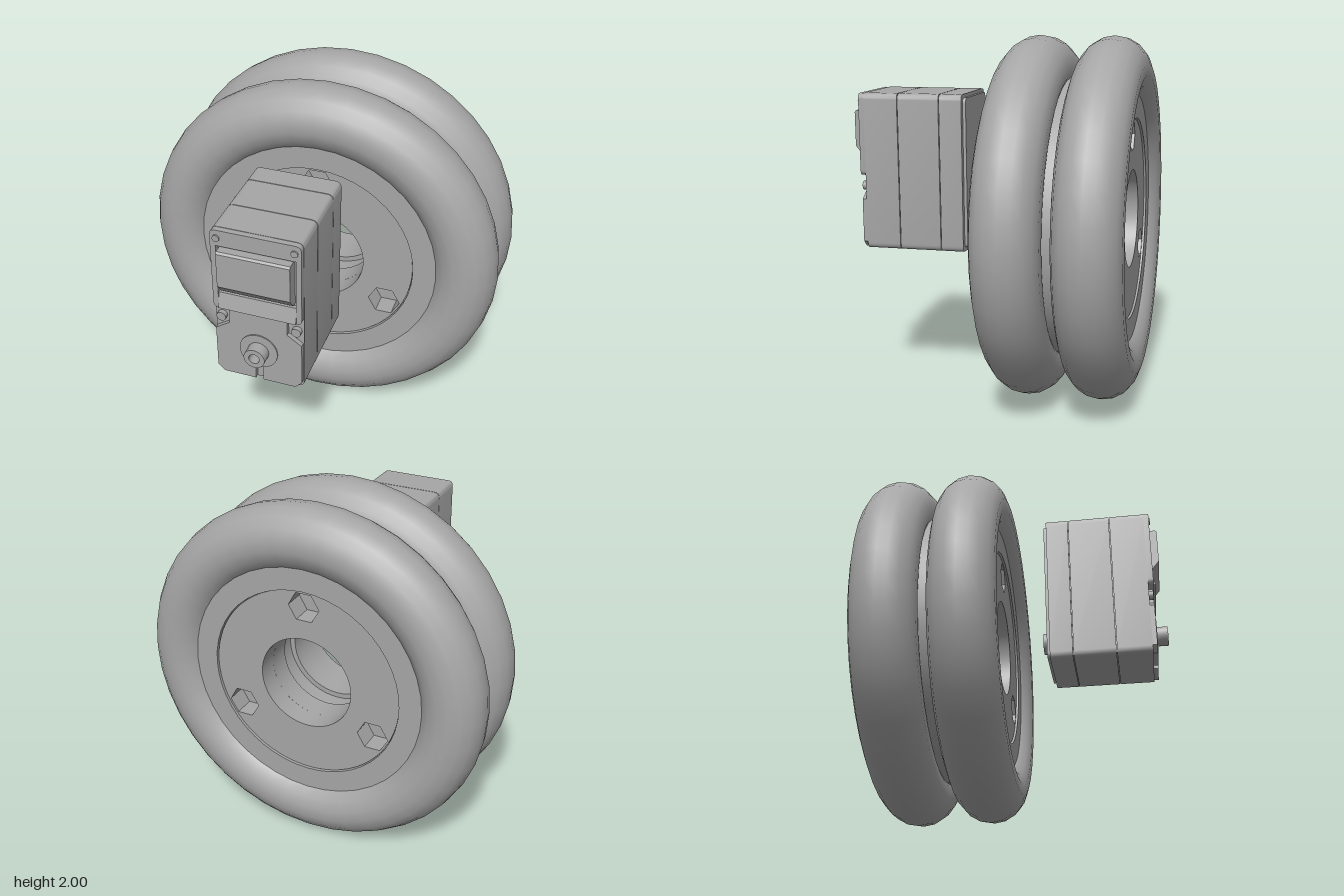
import * as THREE from 'three';
import { toCreasedNormals } from 'three/addons/utils/BufferGeometryUtils.js';

const grey = new THREE.MeshStandardMaterial({ color: 0xa6a6a6 });
grey.name = 'grey';

function add(parent, name, geometry, x = 0, y = 0, z = 0) {
  const mesh = new THREE.Mesh(geometry, grey);
  mesh.name = name;
  mesh.position.set(x, y, z);
  parent.add(mesh);
  return mesh;
}

const polygon = pts => new THREE.Shape(pts.map(p => new THREE.Vector2(...p)));

function extrude(shape, depth, curveSegments = 6) {
  const g = new THREE.ExtrudeGeometry(shape, { depth, curveSegments, bevelEnabled: false });
  return toCreasedNormals(g, 0.6);
}

// Cylinder lying along z
function rod(radius, length, sides = 24) {
  const g = new THREE.CylinderGeometry(radius, radius, length, sides);
  return g.rotateX(Math.PI / 2);
}

// Rounded rectangle from half width w and the heights y0..y1
function roundedRect(w, y0, y1, r) {
  const s = new THREE.Shape();
  s.moveTo(-w + r, y0);
  s.lineTo(w - r, y0);
  s.quadraticCurveTo(w, y0, w, y0 + r);
  s.lineTo(w, y1 - r);
  s.quadraticCurveTo(w, y1, w - r, y1);
  s.lineTo(-w + r, y1);
  s.quadraticCurveTo(-w, y1, -w, y1 - r);
  s.lineTo(-w, y0 + r);
  s.quadraticCurveTo(-w, y0, -w + r, y0);
  return s;
}

function createWheel() {
  const wheel = new THREE.Group();
  wheel.name = 'doubleWheel';

  // Two fat tyres side by side
  for (const side of [1, -1])
    add(wheel, side > 0 ? 'frontTyre' : 'rearTyre',
      new THREE.TorusGeometry(0.82, 0.18, 18, 40), 0, 0, side * 0.205);

  // Hub core: outer rim, recessed faces and a bore with a wide middle
  const profile = [
    [0.27, -0.19], [0.555, -0.19], [0.555, -0.322], [0.74, -0.322], [0.77, -0.2],
    [0.77, 0.2], [0.74, 0.322], [0.555, 0.322], [0.555, 0.19], [0.27, 0.19],
    [0.27, 0.06], [0.3, 0.06], [0.3, -0.06], [0.27, -0.06], [0.27, -0.19],
  ].map(p => new THREE.Vector2(...p));
  const core = new THREE.LatheGeometry(profile, 48).rotateX(Math.PI / 2);
  add(wheel, 'hubCore', toCreasedNormals(core, 0.5));

  // Hub discs with three hexagonal sockets each
  const disc = new THREE.Shape().absarc(0, 0, 0.55, 0, Math.PI * 2, false);
  disc.holes.push(new THREE.Path().absarc(0, 0, 0.27, 0, Math.PI * 2, true));
  for (let i = 0; i < 3; i++) {
    const a = Math.PI / 2 + i * Math.PI * 2 / 3;
    const hex = [];
    for (let k = 0; k < 6; k++) {
      const b = -k * Math.PI / 3;
      hex.push(new THREE.Vector2(
        0.46 * Math.cos(a) + 0.09 * Math.cos(b), 0.46 * Math.sin(a) + 0.09 * Math.sin(b)));
    }
    disc.holes.push(new THREE.Path(hex));
  }
  const discGeometry = extrude(disc, 0.12, 48);
  add(wheel, 'frontHubDisc', discGeometry, 0, 0, 0.19);
  add(wheel, 'rearHubDisc', discGeometry, 0, 0, -0.19).rotation.y = Math.PI;
  return wheel;
}

function createMotor() {
  const motor = new THREE.Group();
  motor.name = 'motor';

  // Case in three layers with fine seams over an inner block
  const caseShape = roundedRect(0.23, 0.81, 1.685, 0.035);
  const layers = [['rearCase', -0.285, -0.159], ['middleCase', -0.155, 0.078], ['frontCase', 0.082, 0.275]];
  for (const [name, z0, z1] of layers) add(motor, name, extrude(caseShape, z1 - z0), 0, 0, z0);
  add(motor, 'innerBlock', new THREE.BoxGeometry(0.44, 0.85, 0.5), 0, 1.2475, 0);

  // Rear plate and idler boss
  add(motor, 'rearPlate', extrude(roundedRect(0.2, 0.83, 1.665, 0.03), 0.02), 0, 0, -0.302);
  add(motor, 'rearBoss', rod(0.06, 0.05), 0, 1.0, -0.31);

  // Upper front cover framing a window
  const cover = roundedRect(0.228, 1.225, 1.683, 0.03);
  cover.holes.push(polygon([[-0.2, 1.24], [-0.2, 1.595], [0.2, 1.595], [0.2, 1.24]]));
  add(motor, 'frontCover', extrude(cover, 0.03), 0, 0, 0.275);

  // Raised panel with a sloping underside, and the ledge below it
  const sideBlock = (pts, width) =>
    extrude(polygon(pts), width).translate(0, 0, -width / 2).rotateY(-Math.PI / 2);
  add(motor, 'frontPanel', sideBlock(
    [[0.27, 1.33], [0.3, 1.33], [0.345, 1.385], [0.345, 1.575], [0.335, 1.585], [0.27, 1.585]], 0.37));
  add(motor, 'panelLedge', sideBlock(
    [[0.27, 1.23], [0.315, 1.23], [0.295, 1.315], [0.27, 1.315]], 0.4));

  // Lower front plate with cut shoulders and a slot at the foot
  const half = [[0.02, 0.9], [0.02, 0.815], [0.19, 0.815], [0.225, 0.85], [0.225, 1.09], [0.15, 1.14], [0.15, 1.225]];
  const mirrored = half.map(([x, y]) => [-x, y]).reverse();
  add(motor, 'lowerPlate', extrude(polygon([...half, ...mirrored]), 0.025), 0, 0, 0.275);

  // Output shaft with a socket
  add(motor, 'shaftCollar', rod(0.1, 0.008, 32), 0, 1.0, 0.302);
  const shaft = new THREE.Shape().absarc(0, 0, 0.055, 0, Math.PI * 2, false);
  shaft.holes.push(new THREE.Path().absarc(0, 0, 0.028, 0, Math.PI * 2, true));
  add(motor, 'outputShaft', extrude(shaft, 0.07, 12), 0, 1.0, 0.297);

  // Corner screws
  for (const x of [-0.195, 0.195]) {
    add(motor, 'upperScrew', rod(0.018, 0.02, 12), x, 1.64, 0.303);
    add(motor, 'lowerScrew', rod(0.025, 0.03, 12), x, 1.165, 0.285);
  }
  return motor;
}

export function createModel() {
  const model = new THREE.Group();
  model.name = 'wheelAndMotor';
  const wheel = createWheel();
  wheel.position.set(0, 1, -0.19);
  const motor = createMotor();
  motor.position.set(0.435, 0, 0.575);
  for (const part of [wheel, motor]) {
    part.rotation.y = Math.PI / 6;
    model.add(part);
  }
  return model;
}
